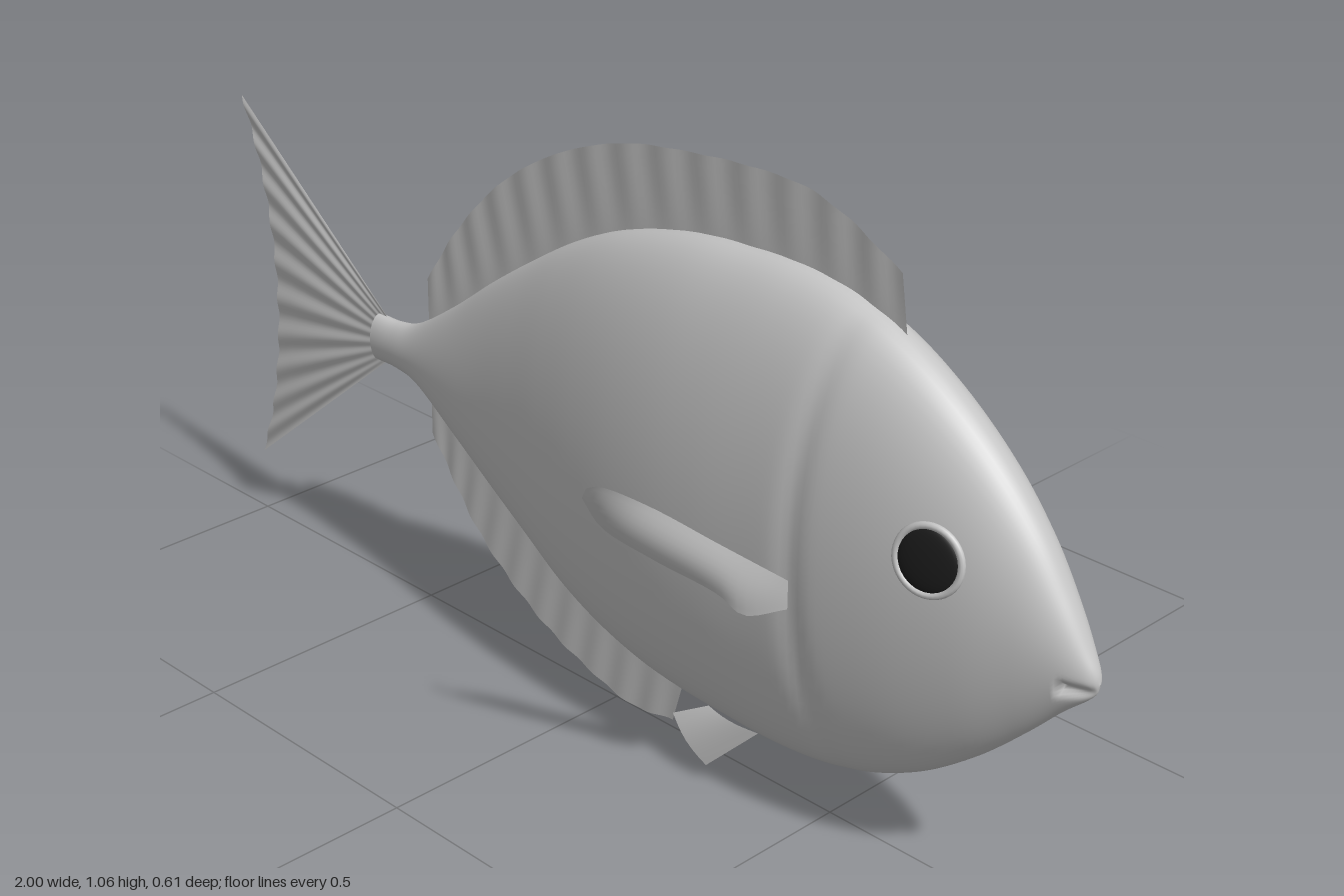
import * as THREE from 'three';

const V = (x, y, z = 0) => new THREE.Vector3(x, y, z);

// Body stations: x, top, bottom, half width
const STATIONS = [
  [-0.62, 0.54, 0.45, 0.024], [-0.56, 0.542, 0.45, 0.026], [-0.5, 0.56, 0.435, 0.03],
  [-0.4, 0.625, 0.37, 0.042], [-0.3, 0.7, 0.305, 0.056], [-0.2, 0.768, 0.245, 0.074],
  [-0.1, 0.83, 0.187, 0.094], [0, 0.878, 0.147, 0.112], [0.1, 0.91, 0.122, 0.126],
  [0.2, 0.93, 0.11, 0.134], [0.3, 0.938, 0.105, 0.136], [0.4, 0.94, 0.102, 0.134],
  [0.5, 0.928, 0.11, 0.131], [0.6, 0.895, 0.135, 0.123], [0.7, 0.838, 0.182, 0.11],
  [0.8, 0.758, 0.255, 0.09], [0.88, 0.67, 0.33, 0.066], [0.94, 0.58, 0.392, 0.043],
  [0.98, 0.51, 0.428, 0.023], [0.995, 0.482, 0.445, 0.011], [1, 0.464, 0.46, 0.001],
];
const spine = new THREE.CatmullRomCurve3(STATIONS.map(s => V(s[0], s[1], s[2])), false, 'catmullrom', 0.5);
const girth = new THREE.CatmullRomCurve3(STATIONS.map(s => V(s[0], s[3])), false, 'catmullrom', 0.5);
const bump = (d, width) => Math.exp(-((d / width) ** 2));

// Point on the skin; angle 0 is the left flank (+z), PI / 2 the back
function skin(t, a) {
  const s = spine.getPoint(t), sin = Math.sin(a), cos = Math.cos(a);
  const y = (s.y + s.z) / 2 + (s.y - s.z) / 2 * sin;
  let z = girth.getPoint(t).y * Math.sign(cos) * Math.abs(cos) ** (sin < 0 ? 0.88 : 1);
  z *= 1 - 0.045 * bump(s.x - 0.505 - 0.3 * (y - 0.55) ** 2, 0.022); // gill crease
  if (s.x > 0.95) z *= 1 - 0.5 * bump(y - 0.45, 0.01); // mouth slit
  return V(s.x, y, z);
}

function skinAt(x, y) {
  let lo = 0, hi = 1;
  for (let i = 0; i < 30; i++) {
    const mid = (lo + hi) / 2;
    if (spine.getPoint(mid).x < x) lo = mid; else hi = mid;
  }
  const s = spine.getPoint(lo);
  return skin(lo, Math.asin((2 * y - s.y - s.z) / (s.y - s.z)));
}

// Grid surface from a point function; wrap closes the second direction
function gridSurface(nu, nv, point, wrap = false) {
  const pos = [], idx = [], cols = wrap ? nv : nv + 1;
  for (let i = 0; i <= nu; i++)
    for (let j = 0; j < cols; j++) pos.push(...point(i / nu, j / nv).toArray());
  for (let i = 0; i < nu; i++)
    for (let j = 0; j < nv; j++) {
      const k = (j + 1) % cols, a = i * cols, b = a + cols;
      idx.push(a + j, b + j, b + k, a + j, b + k, a + k);
    }
  const geo = new THREE.BufferGeometry();
  geo.setAttribute('position', new THREE.Float32BufferAttribute(pos, 3));
  geo.setIndex(idx);
  geo.computeVertexNormals();
  return geo;
}

// Thin fin stretched between a base line and an outer edge, with faint rays
function finSurface(base, edge, rays, depth) {
  const curve = pts => new THREE.CatmullRomCurve3(pts.map(p => V(...p)), false, 'centripetal');
  const inner = curve(base), outer = curve(edge);
  return gridSurface(96, 8, (u, v) => {
    const p = inner.getPointAt(u).lerp(outer.getPointAt(u), v);
    p.z += depth * Math.sin(u * rays * Math.PI * 2) * v * (1 - v * 0.6);
    return p;
  });
}

export function createModel() {
  const fish = new THREE.Group();
  fish.name = 'fish';
  const grey = new THREE.MeshStandardMaterial({ name: 'body grey', color: 0xc4c4c4 });
  const finGrey = new THREE.MeshStandardMaterial({ name: 'fin grey', color: 0xc4c4c4, side: THREE.DoubleSide });
  const black = new THREE.MeshStandardMaterial({ name: 'pupil black', color: 0x1a1a1a });
  const add = (name, geo, mat, parent = fish) => {
    const mesh = new THREE.Mesh(geo, mat);
    mesh.name = name;
    parent.add(mesh);
    return mesh;
  };

  // Body and the flat end of the tail stalk
  add('body', gridSurface(160, 64, (u, v) => skin(u, v * Math.PI * 2), true), grey);
  const cap = add('tailStalkEnd', new THREE.CircleGeometry(1, 32), grey);
  cap.scale.set(0.024, 0.045, 1);
  cap.rotation.y = -Math.PI / 2;
  cap.position.set(-0.62, 0.495, 0);

  // Fins on the centre line
  add('dorsalFin', finSurface(
    [[-0.48, 0.55], [-0.3, 0.67], [-0.1, 0.8], [0.1, 0.88], [0.35, 0.91], [0.615, 0.865]],
    [[-0.48, 0.65], [-0.4, 0.762], [-0.285, 0.88], [-0.15, 0.968], [0.01, 1.03], [0.17, 1.056],
      [0.32, 1.067], [0.41, 1.063], [0.49, 1.038], [0.597, 0.983]], 14, 0.004), finGrey);
  add('analFin', finSurface(
    [[-0.48, 0.44], [-0.3, 0.33], [-0.1, 0.21], [0.05, 0.15], [0.17, 0.13]],
    [[-0.48, 0.348], [-0.355, 0.19], [-0.205, 0.083], [-0.07, 0.028], [0.035, 0.004], [0.138, 0.018]],
    10, 0.004), finGrey);
  add('tailFin', finSurface(
    [[-0.6, 0.543], [-0.6, 0.453]],
    [[-1, 0.862], [-0.957, 0.74], [-0.932, 0.61], [-0.925, 0.495], [-0.932, 0.38], [-0.957, 0.25], [-1, 0.128]],
    10, 0.006), finGrey);

  // Paired fins and eyes
  for (const side of [1, -1]) {
    const label = side > 0 ? 'left' : 'right';

    add(label + 'PectoralFin', gridSurface(24, 8, (u, v) => {
      const upper = pectoralTop.getPointAt(u), lower = pectoralBottom.getPointAt(u);
      const p = upper.lerp(lower, v);
      p.z = side * (p.z + 0.012 * Math.sin(v * Math.PI) * Math.sin(u * Math.PI));
      return p;
    }), finGrey);

    const pelvic = [V(0.39, 0.13, 0.058), V(0.28, 0.135, 0.06), V(0.295, 0.035, 0.08), V(0.215, 0.1, 0.078)];
    add(label + 'PelvicFin', gridSurface(12, 6, (u, v) => {
      const p = pelvic[0].clone().lerp(pelvic[1], v).lerp(pelvic[2].clone().lerp(pelvic[3], v), u);
      p.z = side * (p.z + 0.008 * Math.sin(v * Math.PI));
      return p;
    }), finGrey);

    // Eye laid on the tangent plane of the cheek
    const ex = 0.75, ey = 0.605, d = 0.04;
    const dx = skinAt(ex + d, ey).sub(skinAt(ex - d, ey));
    const dy = skinAt(ex, ey + d).sub(skinAt(ex, ey - d));
    const normal = dx.cross(dy).normalize();
    const eye = new THREE.Group();
    eye.name = label + 'Eye';
    eye.position.copy(skinAt(ex, ey));
    eye.position.z *= side;
    normal.z *= side;
    eye.quaternion.setFromUnitVectors(V(0, 0, 1), normal);
    fish.add(eye);
    add('eyeRim', new THREE.TorusGeometry(0.054, 0.006, 10, 40), grey, eye);
    add('pupil', new THREE.SphereGeometry(0.051, 32, 16), black, eye).scale.z = 0.2;
  }
  return fish;
}

// Upper and lower edges of the side fin, from root to tip
const pectoralTop = new THREE.CatmullRomCurve3([
  V(0.505, 0.485, 0.125), V(0.42, 0.54, 0.19), V(0.33, 0.592, 0.25), V(0.278, 0.625, 0.303), V(0.245, 0.61, 0.302),
]);
const pectoralBottom = new THREE.CatmullRomCurve3([
  V(0.505, 0.435, 0.125), V(0.45, 0.418, 0.165), V(0.415, 0.448, 0.185), V(0.32, 0.492, 0.235),
  V(0.25, 0.535, 0.275), V(0.228, 0.585, 0.295),
]);
